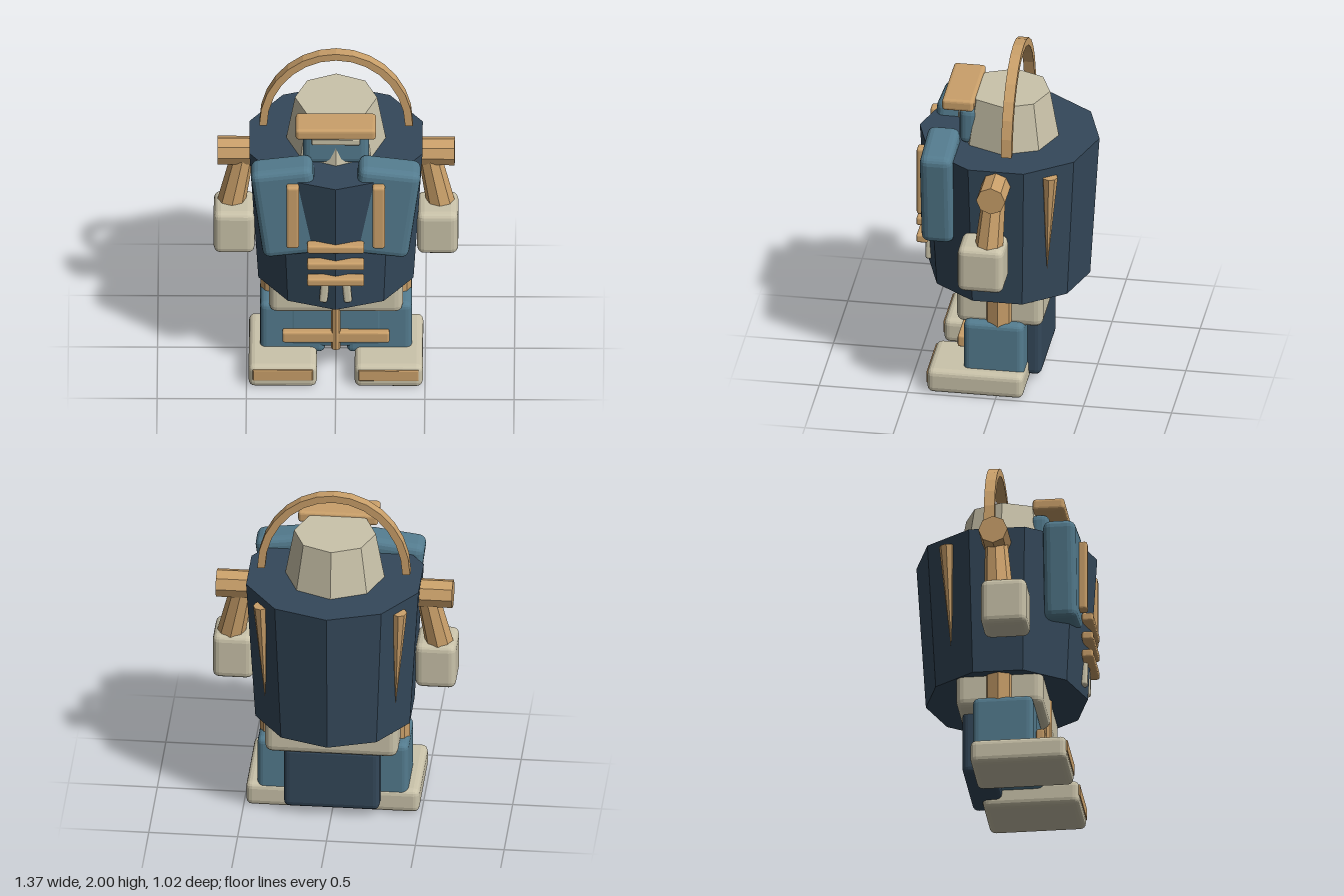
import * as THREE from 'three';
import { RoundedBoxGeometry } from 'three/addons/geometries/RoundedBoxGeometry.js';

const paint = (name, color) => {
  const m = new THREE.MeshStandardMaterial({ color, flatShading: true });
  m.name = name;
  return m;
};

export function createModel() {
  const navy = paint('navy', 0x34485a);
  const blue = paint('blue', 0x547c8f);
  const tan = paint('tan', 0xcaa06a);
  const cream = paint('cream', 0xcac3aa);
  const model = new THREE.Group();
  model.name = 'robot';

  const add = (name, geometry, material, x = 0, y = 0, z = 0) => {
    const mesh = new THREE.Mesh(geometry, material);
    mesh.name = name;
    mesh.position.set(x, y, z);
    model.add(mesh);
    return mesh;
  };
  // Bevelled block given by its extents on each axis
  const block = (name, material, [x0, x1], [y0, y1], [z0, z1], r) =>
    add(name, new RoundedBoxGeometry(x1 - x0, y1 - y0, z1 - z0, 2, r), material,
      (x0 + x1) / 2, (y0 + y1) / 2, (z0 + z1) / 2);
  // Tapered prism running from point a to point b
  const rod = (name, material, a, b, ra, rb, sides = 8) => {
    const from = new THREE.Vector3(...a), to = new THREE.Vector3(...b);
    const dir = to.clone().sub(from);
    const mesh = add(name, new THREE.CylinderGeometry(rb, ra, dir.length(), sides), material);
    mesh.position.copy(from).add(to).multiplyScalar(0.5);
    mesh.quaternion.setFromUnitVectors(new THREE.Vector3(0, 1, 0), dir.normalize());
    return mesh;
  };

  // Torso and head
  add('torso', new THREE.CylinderGeometry(0.51, 0.457, 0.86, 10), navy, 0, 1.015, 0);
  add('head', new THREE.CylinderGeometry(0.23, 0.28, 0.28, 8), cream, 0, 1.58, 0);
  block('facePlate', blue, [-0.185, 0.185], [1.44, 1.665], [0.15, 0.26], 0.04);
  block('eyeSlit', cream, [-0.135, 0.135], [1.58, 1.62], [0.25, 0.272], 0.006);
  block('brim', tan, [-0.225, 0.225], [1.668, 1.737], [0.17, 0.35], 0.018);

  // Arched handle over the head
  const arch = new THREE.Shape();
  const steps = 14;
  const point = (i, rx, ry) => {
    const t = (Math.PI * i) / steps;
    return [Math.cos(t) * rx, 1.51 + Math.sin(t) * ry];
  };
  arch.moveTo(...point(0, 0.43, 0.49));
  for (let i = 1; i <= steps; i++) arch.lineTo(...point(i, 0.43, 0.49));
  for (let i = steps; i >= 0; i--) arch.lineTo(...point(i, 0.387, 0.447));
  add('handle', new THREE.ExtrudeGeometry(arch, { depth: 0.06, bevelEnabled: false }), tan, 0, 0, -0.08);

  // Chest rungs
  for (const y of [0.8, 0.91, 1.025]) {
    block('chestRung', tan, [-0.16, 0.16], [y - 0.025, y + 0.025], [0.44, 0.505], 0.012);
  }

  // Hips, skirt panels and front cross
  block('hips', cream, [-0.375, 0.375], [0.405, 0.72], [-0.245, 0.245], 0.045);
  block('frontApron', blue, [-0.27, 0.27], [0.14, 0.43], [0.05, 0.198], 0.035);
  block('rearSkirt', navy, [-0.27, 0.27], [0.045, 0.435], [-0.222, -0.04], 0.035);
  block('crossBar', tan, [-0.3, 0.3], [0.208, 0.28], [0.2, 0.248], 0.012);
  rod('crossPost', tan, [0, 0.165, 0.227], [0, 0.65, 0.227], 0.027, 0.027);

  // Mirrored parts
  for (const s of [-1, 1]) {
    const side = s > 0 ? 'left' : 'right';
    const span = (a, b) => (s > 0 ? [a, b] : [-b, -a]);

    const pad = block(side + 'ChestPanel', blue, span(0.095, 0.445), [0.93, 1.51], [0.255, 0.44], 0.045);
    pad.rotation.z = -s * 0.13;
    block(side + 'ChestStripe', tan, span(0.206, 0.276), [1.02, 1.437], [0.43, 0.485], 0.014);
    const tag = block(side + 'Tassel', cream, span(0.04, 0.086), [0.635, 0.8], [0.425, 0.465], 0.014);
    tag.rotation.z = s * 0.08;

    rod(side + 'Shoulder', tan, [s * 0.44, 1.355, 0], [s * 0.665, 1.355, 0], 0.082, 0.082);
    rod(side + 'Arm', tan, [s * 0.595, 0.98, 0.025], [s * 0.515, 1.37, 0], 0.082, 0.062);
    block(side + 'Hand', cream, span(0.455, 0.685), [0.77, 1.045], [-0.07, 0.19], 0.04);
    rod(side + 'BackSpike', tan, [s * 0.368, 0.79, -0.272], [s * 0.388, 1.39, -0.291], 0.001, 0.045);

    rod(side + 'Thigh', tan, [s * 0.335, 0.3, 0], [s * 0.335, 0.7, 0], 0.087, 0.087);
    block(side + 'Leg', blue, span(0.06, 0.425), [0.1, 0.438], [-0.145, 0.196], 0.035);
    block(side + 'Foot', cream, span(0.106, 0.488), [0.003, 0.147], [-0.152, 0.393], 0.035);
    block(side + 'ToePlate', tan, span(0.128, 0.465), [0.054, 0.126], [0.38, 0.398], 0.006);
  }
  return model;
}
